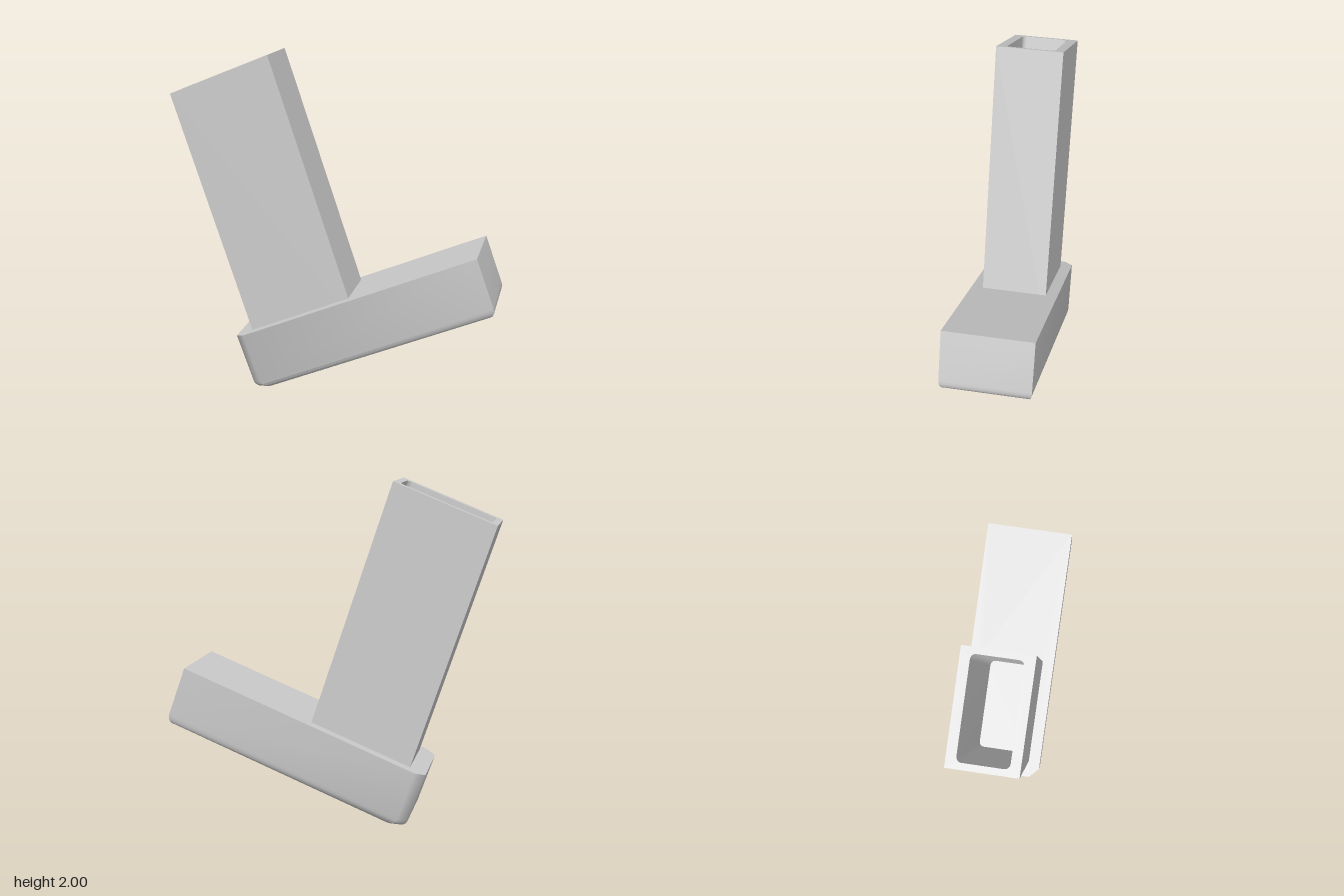
import * as THREE from 'three';
import { toCreasedNormals } from 'three/addons/utils/BufferGeometryUtils.js';

const SLOPE = 0.404; // rise of the tilted base top
const material = new THREE.MeshStandardMaterial({ color: 0xcccccc });

// Sheared frame: shape x runs up the slope, shape y runs to the back, z along the given axis
const frame = (ox, oy, ax, ay) => new THREE.Matrix4().makeBasis(
  new THREE.Vector3(1, SLOPE, 0),
  new THREE.Vector3(0, 0, -1),
  new THREE.Vector3(ax, ay, 0)
).setPosition(ox, oy, 0);

const BASE = frame(-0.58, 0.315, -0.118, 0.332);
const TOWER = frame(-0.487, 0.3525, -0.472, 1.412);
const TOWER_W = 0.588, TOWER_D = 0.195, SINK = 0.12;

const v2 = (x, y) => new THREE.Vector2(x, y);
const rect = (x0, x1, d) => [v2(x0, -d), v2(x1, -d), v2(x1, d), v2(x0, d)];

function roundedRect(x0, x1, d, r) {
  const p = new THREE.Path();
  p.absarc(x1 - r, d - r, r, 0, Math.PI / 2);
  p.absarc(x0 + r, d - r, r, Math.PI / 2, Math.PI);
  p.absarc(x0 + r, r - d, r, Math.PI, Math.PI * 1.5);
  p.absarc(x1 - r, r - d, r, Math.PI * 1.5, Math.PI * 2);
  return p;
}

function mesh(name, geometry, matrix) {
  geometry.applyMatrix4(matrix);
  const m = new THREE.Mesh(toCreasedNormals(geometry, 0.85), material);
  m.name = name;
  return m;
}

// Block with clipped corners at one end and a rounded lower edge
function baseBody(outline, length) {
  const rings = [[0, 0]];
  for (let i = 0; i <= 4; i++) {
    const a = i / 4 * Math.PI / 2;
    rings.push([0.86 + 0.14 * Math.sin(a), 1 - Math.cos(a)]);
  }
  const pos = [], index = [], n = outline.length;
  for (const [depth, inset] of rings) {
    for (const p of outline) {
      const x = p.x * (1 - 0.095 * inset / length) + 0.06 * inset;
      pos.push(x, p.y * (1 - 0.08 * inset), -depth);
    }
  }
  for (let r = 0; r < rings.length - 1; r++) {
    for (let i = 0; i < n; i++) {
      const a = r * n + i, b = r * n + (i + 1) % n;
      index.push(a + n, b + n, b, a + n, b, a);
    }
  }
  const last = (rings.length - 1) * n;
  for (let i = 1; i < n - 1; i++) index.push(last, last + i + 1, last + i);
  const g = new THREE.BufferGeometry();
  g.setAttribute('position', new THREE.Float32BufferAttribute(pos, 3));
  g.setIndex(index);
  return g;
}

export function createModel() {
  const group = new THREE.Group();
  group.name = 'socketOnTiltedBase';

  // Tilted base
  const length = 1.435;
  const outline = [
    v2(0, -0.21), v2(0.055, -0.265), v2(length, -0.265),
    v2(length, 0.265), v2(0.055, 0.265), v2(0, 0.21)
  ];
  group.add(mesh('baseBody', baseBody(outline, length), BASE));

  // Base top, open where the tube enters
  const top = new THREE.Shape(outline);
  top.holes.push(new THREE.Path(rect(0.093, 0.093 + TOWER_W, TOWER_D)));
  group.add(mesh('baseTop', new THREE.ShapeGeometry(top), BASE));

  // Leaning hollow tube, sunk into the base
  const section = new THREE.Shape(rect(0, TOWER_W, TOWER_D));
  section.holes.push(roundedRect(0.035, 0.555, 0.14, 0.03));
  const tube = new THREE.ExtrudeGeometry(section, {
    depth: 1 + SINK, bevelEnabled: false, curveSegments: 6
  });
  tube.translate(0, 0, -SINK);
  group.add(mesh('hollowTube', tube, TOWER));

  // Floor closing the tube
  const floor = new THREE.ShapeGeometry(new THREE.Shape(rect(0.01, TOWER_W - 0.01, 0.18)));
  floor.translate(0, 0, -SINK + 0.005);
  group.add(mesh('tubeFloor', floor, TOWER));

  return group;
}
